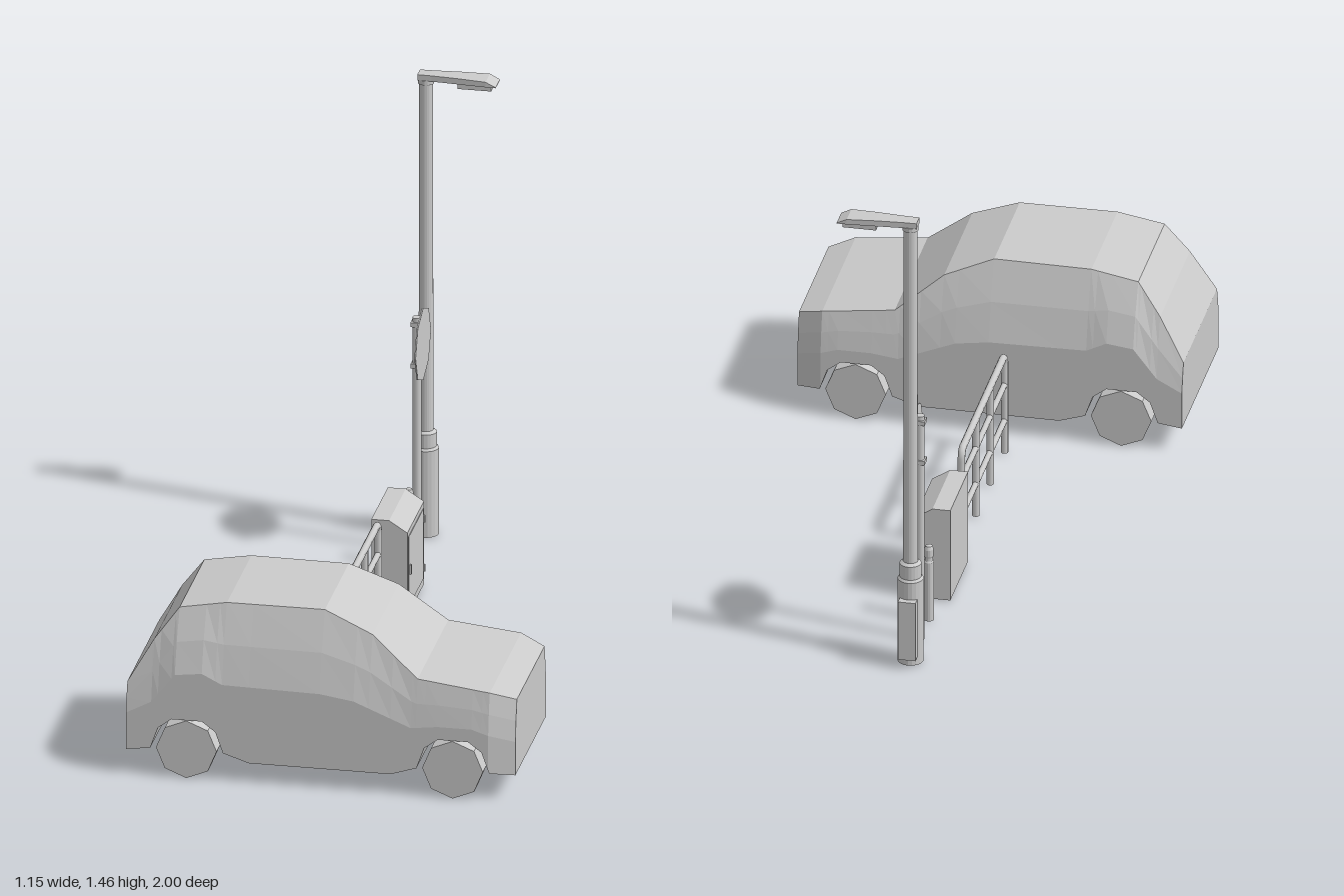
import * as THREE from 'three';

const material = new THREE.MeshStandardMaterial({ color: 0xcccccc, flatShading: true });
const smooth = new THREE.MeshStandardMaterial({ color: 0xcccccc });
const LINE = -0.073; // x of the row of street furniture

function add(parent, name, geometry, x = 0, y = 0, z = 0, mat = material) {
  const mesh = new THREE.Mesh(geometry, mat);
  mesh.name = name;
  mesh.position.set(x, y, z);
  parent.add(mesh);
  return mesh;
}

function group(parent, name, x = 0, z = 0) {
  const g = new THREE.Group();
  g.name = name;
  g.position.set(x, 0, z);
  parent.add(g);
  return g;
}

const box = (w, h, d) => new THREE.BoxGeometry(w, h, d);
const rod = (r, h, sides = 12) => new THREE.CylinderGeometry(r, r, h, sides);
const rodZ = (r, l, sides = 12) => rod(r, l, sides).rotateX(Math.PI / 2);

// Skin through rings of [x, y, z] points, closed at both ends
function loft(rings) {
  const n = rings[0].length, index = [];
  for (let i = 0; i < rings.length - 1; i++) {
    for (let j = 0; j < n; j++) {
      const k = (j + 1) % n;
      const a = i * n + j, b = a + n, c = (i + 1) * n + k, d = i * n + k;
      index.push(a, d, c, a, c, b);
    }
  }
  const last = (rings.length - 1) * n;
  for (let j = 1; j < n - 1; j++) {
    index.push(0, j + 1, j, last, last + j, last + j + 1);
  }
  const g = new THREE.BufferGeometry();
  g.setAttribute('position', new THREE.Float32BufferAttribute(rings.flat(2), 3));
  g.setIndex(index);
  const out = g.toNonIndexed();
  out.computeVertexNormals();
  return out;
}

// Straight-line interpolation through [x, value] pairs
function sample(curve, x) {
  let i = 0;
  while (i < curve.length - 2 && x > curve[i + 1][0]) i++;
  const [x0, v0] = curve[i], [x1, v1] = curve[i + 1];
  return THREE.MathUtils.lerp(v0, v1, (x - x0) / (x1 - x0));
}

function buildCar(root) {
  const car = group(root, 'car', 0, 0.738);
  const roof = [[-0.575, 0.28], [-0.5, 0.41], [-0.43, 0.505], [-0.29, 0.53], [0, 0.53],
    [0.145, 0.47], [0.285, 0.355], [0.5, 0.33], [0.575, 0.305]];
  const arch = (cx) => [[-0.108, 0.085], [-0.085, 0.15], [-0.045, 0.18],
    [0.045, 0.18], [0.085, 0.15], [0.108, 0.085]].map(([x, y]) => [cx + x, y]);
  const sill = [[-0.575, 0.075], ...arch(-0.395), [-0.21, 0.06], [0.21, 0.06],
    ...arch(0.395), [0.575, 0.075]];
  const belt = [[-0.575, 0.19], [-0.5, 0.23], [-0.43, 0.32], [-0.35, 0.33], [-0.29, 0.3],
    [0, 0.295], [0.1, 0.28], [0.27, 0.21], [0.35, 0.22], [0.45, 0.22], [0.575, 0.18]];
  const sideHalf = [[-0.575, 0.256], [0.5, 0.256], [0.575, 0.228]];
  const roofHalf = [[-0.575, 0.233], [-0.43, 0.183], [0, 0.178], [0.145, 0.195],
    [0.285, 0.228], [0.5, 0.233], [0.575, 0.205]];
  const stations = [...new Set([roof, sill, belt].flat().map((p) => p[0]))].sort((a, b) => a - b);
  const rings = stations.map((x) => {
    const top = sample(roof, x), waist = sample(belt, x), low = sample(sill, x);
    const w = sample(sideHalf, x), wt = sample(roofHalf, x);
    const half = [[top, wt], [(top + waist) / 2, wt + (w - wt) * 0.6], [waist, w], [low, w]];
    return [...half.map(([y, z]) => [x, y, z]), ...half.reverse().map(([y, z]) => [x, y, -z])];
  });
  add(car, 'body', loft(rings));

  // Wheels and axles
  for (const x of [-0.395, 0.395]) {
    add(car, 'axle', rodZ(0.028, 0.44, 8), x, 0.09, 0);
    for (const side of [-1, 1]) {
      add(car, 'wheel', rodZ(0.09, 0.058, 8), x, 0.09, side * 0.231);
    }
  }
}

function buildRailing(root) {
  const railing = group(root, 'railing', LINE, 0.063);
  const r = 0.011, end = 0.3, top = 0.325, bend = 0.03;

  // Bent outer frame
  const path = new THREE.CurvePath();
  const v = (y, z) => new THREE.Vector3(0, y, z);
  path.add(new THREE.LineCurve3(v(0.004, end), v(top - bend, end)));
  path.add(new THREE.QuadraticBezierCurve3(v(top - bend, end), v(top, end), v(top, end - bend)));
  path.add(new THREE.LineCurve3(v(top, end - bend), v(top, bend - end)));
  path.add(new THREE.QuadraticBezierCurve3(v(top, bend - end), v(top, -end), v(top - bend, -end)));
  path.add(new THREE.LineCurve3(v(top - bend, -end), v(0.004, -end)));
  add(railing, 'frame', new THREE.TubeGeometry(path, 120, r, 10), 0, 0, 0, smooth);
  for (const z of [-end, end]) add(railing, 'foot', rod(r, 0.01, 10), 0, 0.009, z);

  // Inner posts and rails
  for (const z of [-0.098, 0.1]) add(railing, 'post', rod(r, top - 0.004, 10), 0, top / 2 + 0.002, z, smooth);
  for (const y of [0.11, 0.228]) add(railing, 'rail', rodZ(0.009, end * 2, 10), 0, y, 0, smooth);
}

function buildCabinet(root) {
  const cabinet = group(root, 'utilityCabinet', 0, -0.442);
  const profile = new THREE.Shape([[-0.11, 0.004], [-0.003, 0.004], [-0.003, 0.265],
    [-0.057, 0.3], [-0.11, 0.3]].map(([x, y]) => new THREE.Vector2(x, y)));
  add(cabinet, 'cabinetBody',
    new THREE.ExtrudeGeometry(profile, { depth: 0.246, bevelEnabled: false }).translate(0, 0, -0.123));

  // Door with hinges and handle
  add(cabinet, 'door', box(0.003, 0.22, 0.22), -0.0025, 0.138, 0);
  for (const y of [0.06, 0.215]) add(cabinet, 'hinge', rod(0.004, 0.022, 8), 0, y, -0.112);
  add(cabinet, 'handle', box(0.006, 0.03, 0.008), 0.001, 0.14, 0.095);
}

function buildBollard(root) {
  const points = [[0, 0.004], [0.015, 0.004], [0.015, 0.195], [0.012, 0.2], [0.012, 0.21],
    [0.014, 0.215], [0.014, 0.236], [0.01, 0.247], [0, 0.252]];
  add(root, 'bollard', new THREE.LatheGeometry(points.map(([x, y]) => new THREE.Vector2(x, y)), 16),
    LINE, 0, -0.69);
}

function buildSign(root) {
  const sign = group(root, 'roadSign', LINE, -0.81);
  add(sign, 'signPost', rod(0.013, 0.736, 12), 0, 0.372, 0, smooth);
  add(sign, 'signPlate', rod(0.114, 0.004, 8).rotateZ(Math.PI / 2), 0.017, 0.656, 0);
  for (const y of [0.59, 0.72]) add(sign, 'clamp', box(0.032, 0.014, 0.032), 0, y, 0);
}

function buildLamp(root) {
  const lamp = group(root, 'streetLamp', LINE, -0.945);
  const points = [[0, 0.004], [0.038, 0.004], [0.038, 0.275], [0.032, 0.282], [0.032, 0.325],
    [0.022, 0.332], [0.02, 1.438], [0, 1.438]];
  add(lamp, 'lampPost', new THREE.LatheGeometry(points.map(([x, y]) => new THREE.Vector2(x, y)), 20));
  add(lamp, 'serviceBox', box(0.052, 0.19, 0.03), 0, 0.125, -0.04);

  // Flat arm widening into the lamp head, with a sloping tip
  const sections = [[-0.022, 1.437, 1.455, 0.02], [0.02, 1.437, 1.455, 0.021],
    [0.1, 1.437, 1.455, 0.027], [0.183, 1.437, 1.453, 0.033], [0.213, 1.436, 1.438, 0.032]];
  add(lamp, 'lampHead', loft(sections.map(([x, lo, hi, w]) =>
    [[x, hi, w], [x, lo, w], [x, lo, -w], [x, hi, -w]])));
  add(lamp, 'lampCollar', rod(0.024, 0.014, 16), 0, 1.431, 0);
  add(lamp, 'lampLens', box(0.1, 0.016, 0.046), 0.148, 1.429, 0);
}

export function createModel() {
  const root = new THREE.Group();
  root.name = 'streetScene';
  buildCar(root);
  buildRailing(root);
  buildCabinet(root);
  buildBollard(root);
  buildSign(root);
  buildLamp(root);
  return root;
}
